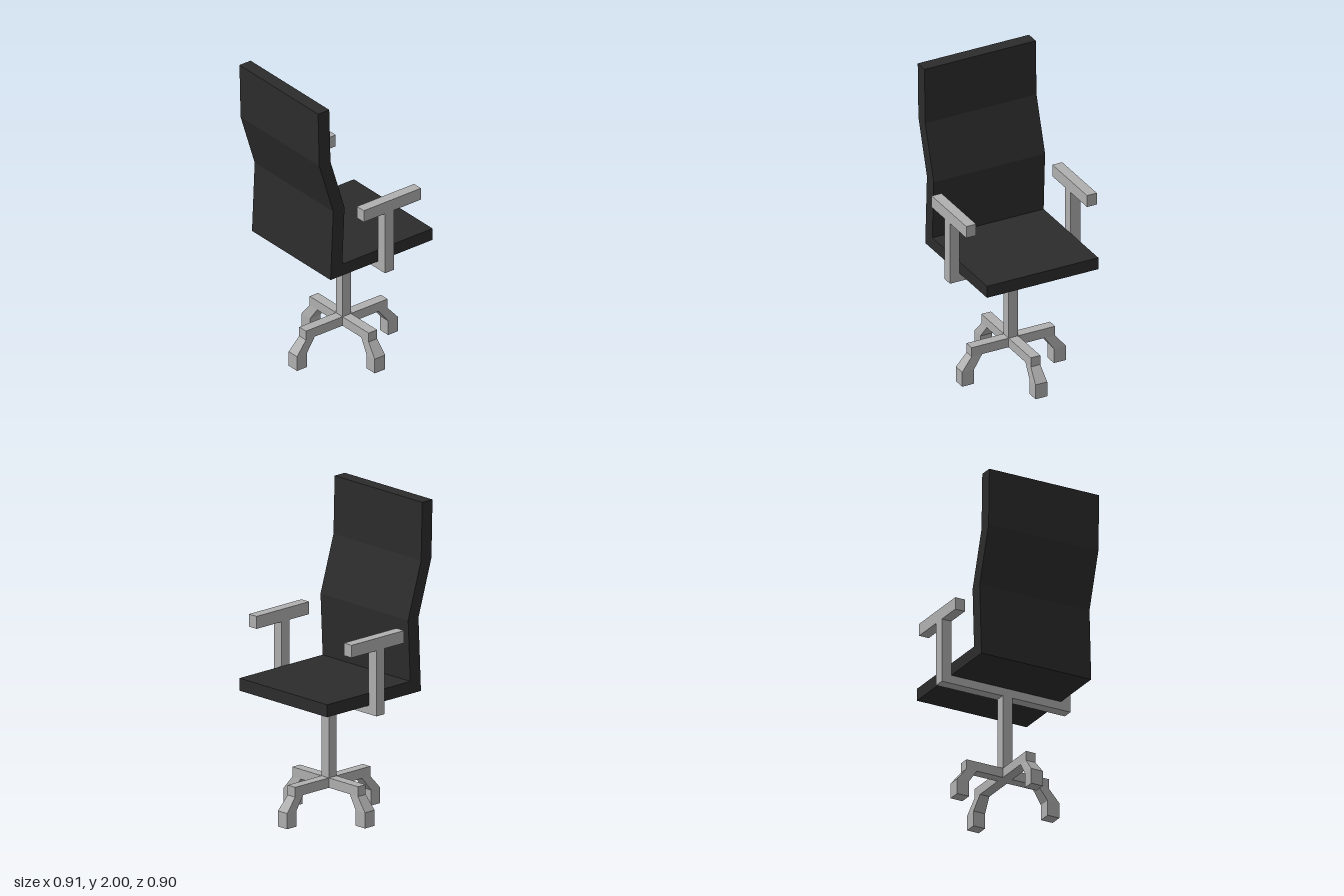
import * as THREE from 'three';

const upholstery = new THREE.MeshStandardMaterial({ color: 0x2c2c2c, flatShading: true });
upholstery.name = 'dark upholstery';
const metal = new THREE.MeshStandardMaterial({ color: 0xb0b0b0, flatShading: true });
metal.name = 'grey metal';

function add(parent, name, geometry, material, x = 0, y = 0, z = 0) {
  const mesh = new THREE.Mesh(geometry, material);
  mesh.name = name;
  mesh.position.set(x, y, z);
  parent.add(mesh);
  return mesh;
}

// Metal box given by its centre in x and z, and its bottom and top in y
function bar(parent, name, w, d, y0, y1, x = 0, z = 0) {
  return add(parent, name, new THREE.BoxGeometry(w, y1 - y0, d), metal, x, (y0 + y1) / 2, z);
}

// Foot block with a tapered, slanted neck that leans in to the end of the base bar
function footGeometry(inner, outer, neckInner, neckOuter) {
  const levels = [
    { y: 0, from: inner, to: outer, half: 0.041 },
    { y: 0.1, from: inner, to: outer, half: 0.041 },
    { y: 0.187, from: neckInner, to: neckOuter, half: 0.033 },
  ];
  const geometry = new THREE.BoxGeometry(1, 1, 1, 1, 2, 1);
  const p = geometry.attributes.position;
  for (let i = 0; i < p.count; i++) {
    const l = levels[Math.round((p.getY(i) + 0.5) * 2)];
    p.setXYZ(i, p.getX(i) < 0 ? l.from : l.to, l.y, Math.sign(p.getZ(i)) * l.half);
  }
  geometry.computeVertexNormals();
  return geometry;
}

export function createModel() {
  const chair = new THREE.Group();
  chair.name = 'officeChair';
  chair.rotation.y = 0.0115; // the chair stands very slightly turned

  // Seat and bent backrest: one side profile [z, y] swept across the width
  const profile = [
    [-0.448, 0.795], [0.349, 0.795], [0.328, 1.27], [0.438, 1.63], [0.447, 2],
    [0.36, 2], [0.35, 1.63], [0.24, 1.27], [0.258, 0.875], [-0.448, 0.875],
  ];
  const shape = new THREE.Shape(profile.map(([z, y]) => new THREE.Vector2(-z, y)));
  const shell = new THREE.ExtrudeGeometry(shape, { depth: 0.774, bevelEnabled: false });
  shell.rotateY(Math.PI / 2).translate(-0.387, 0, 0);
  add(chair, 'seatAndBackrest', shell, upholstery);

  // Crossbar under the seat, with an arm at each end
  bar(chair, 'crossbar', 0.907, 0.07, 0.74, 0.795, 0, -0.058);
  for (const [side, name] of [[1, 'left'], [-1, 'right']]) {
    bar(chair, name + 'ArmPost', 0.068, 0.07, 0.795, 1.16, side * 0.4195, -0.058);
    bar(chair, name + 'Armrest', 0.068, 0.447, 1.16, 1.24, side * 0.4195, -0.081);
  }

  // Column and four-legged base
  const base = new THREE.Group();
  base.name = 'base';
  base.position.set(0.008, 0, -0.052);
  chair.add(base);
  bar(base, 'column', 0.066, 0.066, 0.187, 0.745);
  bar(base, 'sideBaseBar', 0.58, 0.066, 0.187, 0.25);
  bar(base, 'lengthBaseBar', 0.066, 0.638, 0.187, 0.25);
  const sideFoot = footGeometry(0.277, 0.36, 0.217, 0.29);
  const lengthFoot = footGeometry(0.317, 0.395, 0.25, 0.319);
  for (let i = 0; i < 4; i++) {
    const foot = add(base, 'foot' + (i + 1), i % 2 ? lengthFoot : sideFoot, metal);
    foot.rotation.y = i * Math.PI / 2;
  }

  const model = new THREE.Group();
  model.add(chair);
  return model;
}
